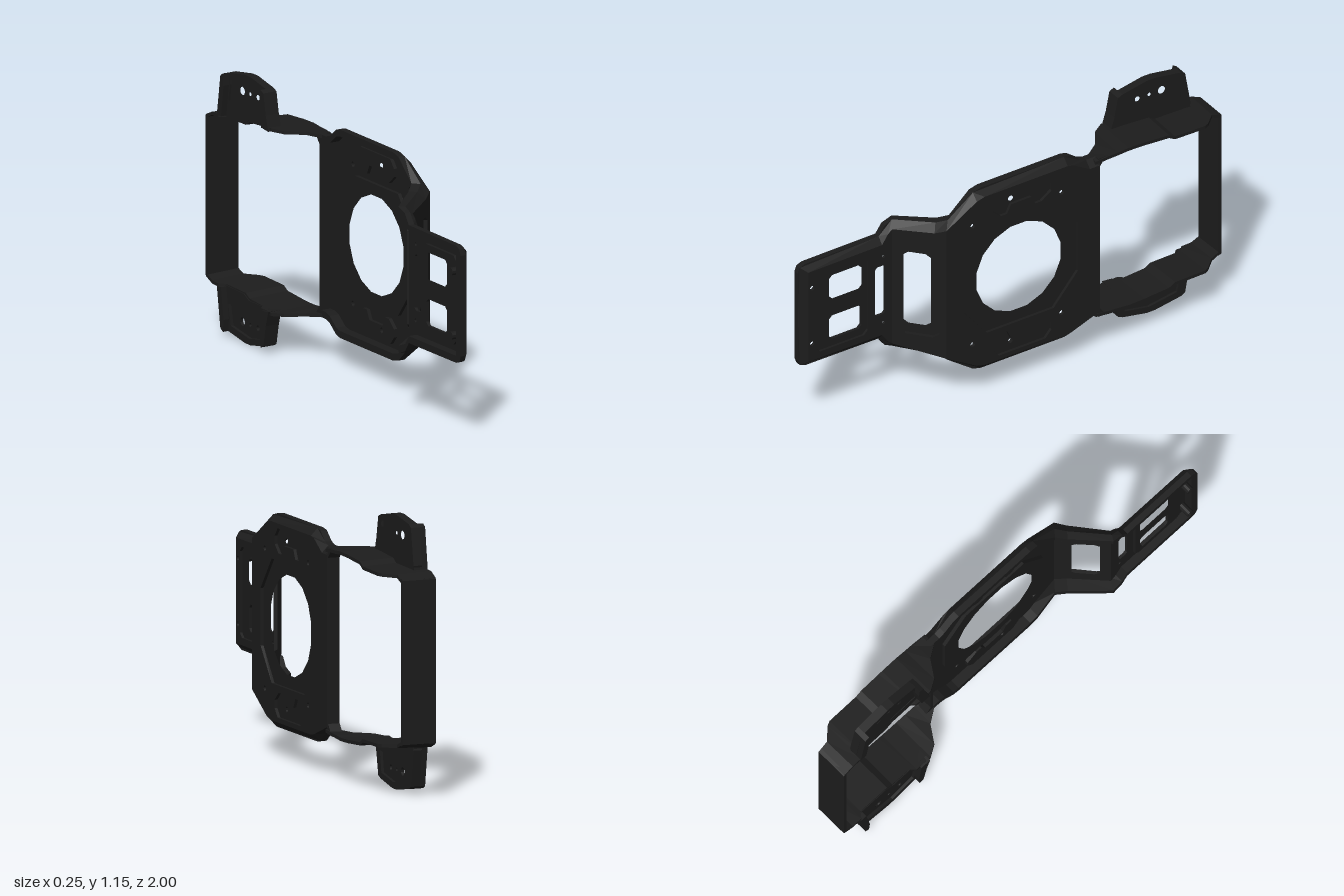
import * as THREE from 'three';

const MID = 0.573; // height of the mirror plane
const mat = new THREE.MeshStandardMaterial({ color: 0x1c1c1c, flatShading: true });

// Piecewise linear lookup in [[key, value], ...] with rising keys
function lookup(table, k) {
  if (k <= table[0][0]) return table[0][1];
  for (let i = 1; i < table.length; i++) {
    const [a, va] = table[i - 1], [b, vb] = table[i];
    if (k <= b) return va + (vb - va) * (k - a) / (b - a);
  }
  return table[table.length - 1][1];
}

// Bend profile of the plate along z, and its half height
const INNER = [[0.375, 0.06], [0.535, -0.11]];
const OUTER = [[0.375, 0.118], [0.535, -0.06]];
const MITRE = [[0.3, 0], [0.375, 0.025], [0.535, 0.015], [0.56, 0]];
const HALF = [[-0.36, 0.39], [-0.31, 0.39], [-0.28, 0.4], [-0.23, 0.438], [-0.2, 0.445], [0.21, 0.445], [0.25, 0.435],
  [0.375, 0.345], [0.41, 0.325], [0.535, 0.312], [0.57, 0.295], [0.6, 0.252], [0.965, 0.25], [0.99, 0.24], [1, 0.215], [1, 0]];
const RIM = 0.03;

const ring = (z, h, r, n = 10) => Array.from({ length: n }, (_, i) => {
  const a = (i + 0.5) / n * Math.PI * 2;
  return [z + r * Math.cos(a), h + r * Math.sin(a)];
});
const slot = (z0, z1, h0, h1, c = 0.015) => [[z0 + c, h0], [z1 - c, h0], [z1, h0 + c], [z1, h1 - c],
  [z1 - c, h1], [z0 + c, h1], [z0, h1 - c], [z0, h0 + c]];
const flip = (pts, s) => pts.map(([z, h]) => [z, h * s]);
const both = (pts) => [pts, flip(pts, -1)];

// Extrude a (z, height) outline sideways; rule(w, z, h) gives the final [x, z, h]
function sheet(name, outline, holes, rule) {
  const vec = (pts) => pts.map(([z, h]) => new THREE.Vector2(-z, h));
  const shape = new THREE.Shape(vec(outline));
  shape.holes = holes.map((p) => new THREE.Path(vec(p)));
  const geo = new THREE.ExtrudeGeometry(shape, { depth: 1, bevelEnabled: false });
  const p = geo.attributes.position;
  for (let i = 0; i < p.count; i++) {
    const [x, z, h] = rule(p.getZ(i), -p.getX(i), p.getY(i));
    p.setXYZ(i, x, h + MID, z);
  }
  geo.computeVertexNormals();
  const mesh = new THREE.Mesh(geo, mat);
  mesh.name = name;
  return mesh;
}

// Rule that follows the bent plate between depths w0 (inner) and w1 (outer)
const bent = (w0, w1) => (w, z, h) => {
  const d = w0 + (w1 - w0) * w;
  const x = THREE.MathUtils.lerp(lookup(INNER, z), lookup(OUTER, z), d);
  return [x, z + (d - 0.5) * 2 * lookup(MITRE, z), h];
};
// Full-depth rim whose outer edge drops to half depth as a chamfer
const rimRule = (w, z, h) => {
  const onEdge = z > 0.995 || Math.abs(h) > lookup(HALF, z) - 0.002;
  return bent(0, onEdge ? 0.5 : 1)(w, z, h);
};
const flat = (x0, x1) => (w, z, h) => [x0 + (x1 - x0) * w, z, h];

const skinRule = bent(0.76, 1);
const floorRule = bent(0.5, 0.78);

export function createModel() {
  const model = new THREE.Group();
  model.name = 'mountingBracket';
  const add = (...args) => model.add(sheet(...args));

  // Thin pressed skin with a chamfered rim along its upper and lower edges
  function panel(name, z0, z1, holes) {
    const edge = HALF.filter(([z]) => z >= z0 && z <= z1);
    const inset = edge.map(([z, h]) => [Math.min(z, 1 - RIM - 0.005), Math.max(h - RIM, 0)]);
    add(name, [...inset, ...flip(inset, -1).reverse()], holes, skinRule);
    for (const s of [1, -1]) add(name + 'Rim', flip([...edge, ...[...inset].reverse()], s), [], rimRule);
  }

  // Main panel: recessed octagon around the round opening, recessed screw pads
  const octagon = [[0.31, -0.12], [0.31, 0.12], [0.2, 0.26], [-0.13, 0.26], [-0.25, 0.12], [-0.25, -0.12],
    [-0.13, -0.26], [0.2, -0.26]];
  const pad = [[0.17, 0.36], [0.14, 0.395], [-0.09, 0.395], [-0.12, 0.36], [-0.12, 0.325], [-0.07, 0.29],
    [-0.04, 0.29], [-0.02, 0.33], [0.08, 0.33], [0.1, 0.29], [0.13, 0.29], [0.17, 0.325]];
  const padHole = ring(0.075, 0.352, 0.012);
  panel('mainPlate', -0.36, 0.375, [octagon, ...both(pad),
    ...both(ring(0.27, 0.292, 0.012)), ...both(ring(-0.17, 0.297, 0.012))]);
  add('octagonFloor', octagon, [ring(0.035, 0.002, 0.212, 16)], floorRule);
  for (const s of [1, -1]) add('screwPad', flip(pad, s), [flip(padHole, s)], floorRule);
  add('openingLip', [[-0.36, -0.365], [-0.36, 0.365], [-0.347, 0.365], [-0.347, -0.365]], [], flat(0.06, 0.115));

  // Sloped panel with a tall slot in a recess
  const recess = slot(0.395, 0.517, -0.22, 0.22, 0.02);
  panel('slopedPlate', 0.375, 0.535, [recess]);
  add('slotFloor', recess, [slot(0.422, 0.502, -0.175, 0.175)], floorRule);

  // Front panel with a narrow slot and two windows in a recess
  const tray = slot(0.67, 0.925, -0.19, 0.19, 0.02);
  panel('frontPlate', 0.535, 1, [slot(0.585, 0.634, -0.12, 0.12, 0.01), tray,
    ...both(ring(0.945, 0.137, 0.011)), ...both(ring(0.592, 0.163, 0.008))]);
  add('windowFloor', tray, both(slot(0.695, 0.855, 0.042, 0.157)), floorRule);

  for (const s of [1, -1]) {
    // Hollow locating pins on the inner side of the front panel
    add('locatingPin', ring(0.945, s * 0.137, 0.017), [ring(0.945, s * 0.137, 0.011)], flat(-0.125, -0.07));

    // Rear side arms: [z, x min, x max, half height]
    const arm = [[-0.995, -0.09, 0.06, 0.34], [-0.95, -0.09, 0.063, 0.36], [-0.9, -0.09, 0.11, 0.362],
      [-0.88, -0.065, 0.12, 0.363], [-0.73, -0.065, 0.12, 0.366], [-0.7, -0.065, 0.12, 0.383],
      [-0.6, -0.065, 0.12, 0.39], [-0.58, -0.085, 0.12, 0.392], [-0.5, -0.085, 0.12, 0.394],
      [-0.45, -0.055, 0.119, 0.39], [-0.4, 0.02, 0.118, 0.388], [-0.34, 0.06, 0.116, 0.382]];
    const geo = new THREE.BoxGeometry(1, 1, 1, 1, 1, arm.length - 1);
    const p = geo.attributes.position;
    for (let i = 0; i < p.count; i++) {
      const [z, lo, hi, h] = arm[Math.round((p.getZ(i) + 0.5) * (arm.length - 1))];
      const out = p.getX(i) > 0;
      p.setXYZ(i, out ? hi : lo, MID + s * (h - (out ? 0.006 : 0)) + p.getY(i) * 0.014, z);
    }
    geo.computeVertexNormals();
    const wall = new THREE.Mesh(geo, mat);
    wall.name = 'sideArm';
    model.add(wall);

    // Corner fillet between plate and arm
    add('armGusset', flip([[-0.355, 0.39], [-0.41, 0.39], [-0.385, 0.378], [-0.355, 0.34]], s), [], flat(0.06, 0.112));

    // Mounting ear: thin web, raised rim and side flanges
    const ear = flip([[-0.51, 0.385], [-0.53, 0.45], [-0.548, 0.54], [-0.57, 0.55], [-0.69, 0.573], [-0.73, 0.573],
      [-0.86, 0.552], [-0.88, 0.54], [-0.907, 0.385], [-0.9, 0.36], [-0.74, 0.365], [-0.7, 0.385]], s);
    const pocket = flip([[-0.565, 0.435], [-0.58, 0.525], [-0.7, 0.547], [-0.84, 0.525], [-0.86, 0.435]], s);
    const holes = [[-0.65, 0.012], [-0.71, 0.008], [-0.77, 0.018]].map(([z, r]) => ring(z, s * 0.493, r));
    add('earWeb', ear, holes, flat(-0.055, -0.042));
    add('earRim', ear, [pocket], flat(-0.068, -0.03));
    add('earFlange', flip([[-0.51, 0.385], [-0.53, 0.45], [-0.548, 0.54], [-0.57, 0.55], [-0.575, 0.5], [-0.56, 0.39]], s),
      [], flat(-0.094, -0.032));
    add('earFlange', flip([[-0.907, 0.365], [-0.88, 0.54], [-0.86, 0.552], [-0.855, 0.5], [-0.875, 0.365]], s),
      [], flat(-0.094, -0.032));
  }

  // Rear cross wall joining the arms
  add('rearWall', [[-1, -0.342], [-1, 0.342], [-0.985, 0.35], [-0.985, -0.35]], [], flat(-0.09, 0.06));
  return model;
}
